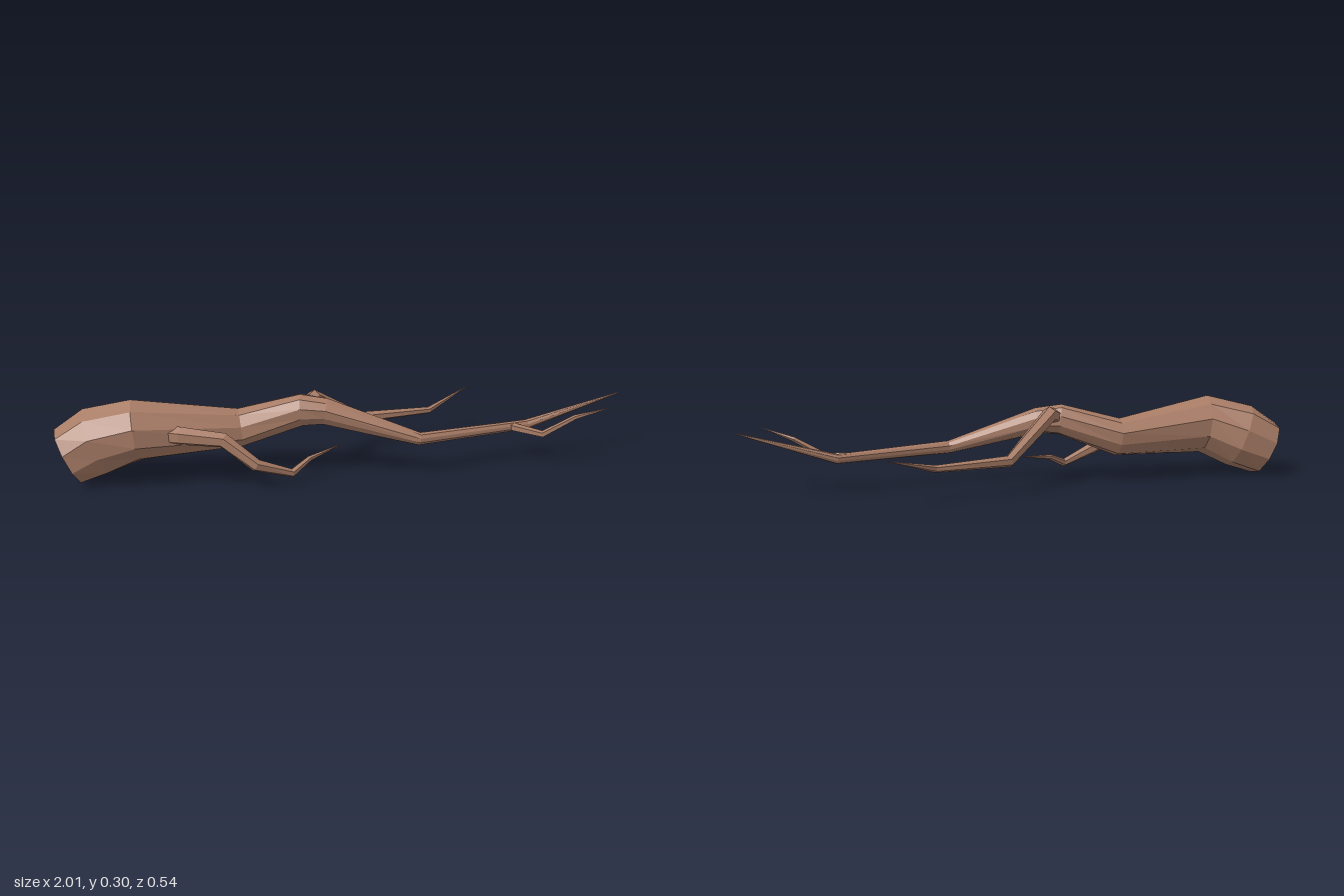
import * as THREE from 'three';

const bark = new THREE.MeshStandardMaterial({ color: 0xa87c66, flatShading: true });

// Sweeps a faceted ring along sections [x, y, z, vertical radius, sideways radius]
function limb(name, sections, sides, rough = 0) {
  const centres = sections.map(([x, y, z]) => new THREE.Vector3(x, y, z));
  const last = centres.length - 1;
  const up = new THREE.Vector3(0, 1, 0);
  const positions = [];
  const index = [];

  centres.forEach((c, i) => {
    // Tangent halves the angle between neighbouring segments
    const t = new THREE.Vector3();
    if (i > 0) t.add(c.clone().sub(centres[i - 1]).normalize());
    if (i < last) t.add(centres[i + 1].clone().sub(c).normalize());
    t.normalize();
    const side = t.clone().cross(up).normalize();
    const v = side.clone().cross(t);
    const rv = sections[i][3];
    const rh = sections[i][4] ?? rv;
    for (let j = 0; j < sides; j++) {
      const a = ((j + 0.5) / sides) * Math.PI * 2;
      const k = 1 + rough * Math.sin(j * 2.4 + i * 1.7);
      const p = c.clone()
        .addScaledVector(side, Math.cos(a) * rh * k)
        .addScaledVector(v, Math.sin(a) * rv * k);
      positions.push(p.x, p.y, p.z);
    }
  });

  // Bark faces between rings
  for (let i = 0; i < last; i++) {
    for (let j = 0; j < sides; j++) {
      const a = i * sides + j;
      const b = i * sides + ((j + 1) % sides);
      index.push(a, a + sides, b, b, a + sides, b + sides);
    }
  }
  // Cut end and tip
  for (let j = 1; j < sides - 1; j++) {
    const e = last * sides;
    index.push(0, j, j + 1, e, e + j + 1, e + j);
  }

  const indexed = new THREE.BufferGeometry();
  indexed.setAttribute('position', new THREE.Float32BufferAttribute(positions, 3));
  indexed.setIndex(index);
  const geometry = indexed.toNonIndexed();
  geometry.computeVertexNormals();
  const mesh = new THREE.Mesh(geometry, bark);
  mesh.name = name;
  return mesh;
}

export function createModel() {
  const group = new THREE.Group();
  group.name = 'fallenBranch';

  // Thick trunk with a slanted cut, thinning into the long main branch
  group.add(limb('trunk', [
    [-0.96, 0.102, 0.07, 0.108, 0.108],
    [-0.86, 0.15, 0.072, 0.122, 0.113],
    [-0.73, 0.195, 0.112, 0.106, 0.108],
    [-0.37, 0.168, 0.06, 0.07, 0.073],
    [-0.16, 0.235, 0.102, 0.057, 0.057],
    [-0.08, 0.23, 0.12, 0.047, 0.045],
    [0.24, 0.134, 0.183, 0.023, 0.023],
    [0.66, 0.128, 0.073, 0.018, 0.018],
    [1.0, 0.23, 0.07, 0.002, 0.002],
  ], 10, 0.03));

  // Branch reaching to the back
  group.add(limb('backBranch', [
    [-0.16, 0.235, 0.10, 0.03],
    [-0.11, 0.26, 0.055, 0.03],
    [0.08, 0.125, -0.105, 0.021],
    [0.35, 0.121, -0.16, 0.013],
    [0.53, 0.175, -0.27, 0.001],
  ], 6));

  // Crooked branch drooping at the front
  group.add(limb('frontBranch', [
    [-0.65, 0.185, 0.14, 0.034],
    [-0.58, 0.188, 0.178, 0.032],
    [-0.44, 0.178, 0.216, 0.027],
    [-0.335, 0.095, 0.25, 0.022],
    [-0.21, 0.048, 0.22, 0.015],
    [-0.145, 0.08, 0.175, 0.01],
    [-0.02, 0.1, 0.1, 0.001],
  ], 6));

  // Small twig near the end of the main branch
  group.add(limb('endTwig', [
    [0.59, 0.13, 0.09, 0.016],
    [0.69, 0.122, 0.172, 0.013],
    [0.8, 0.185, 0.188, 0.009],
    [0.91, 0.225, 0.222, 0.001],
  ], 5));

  return group;
}
